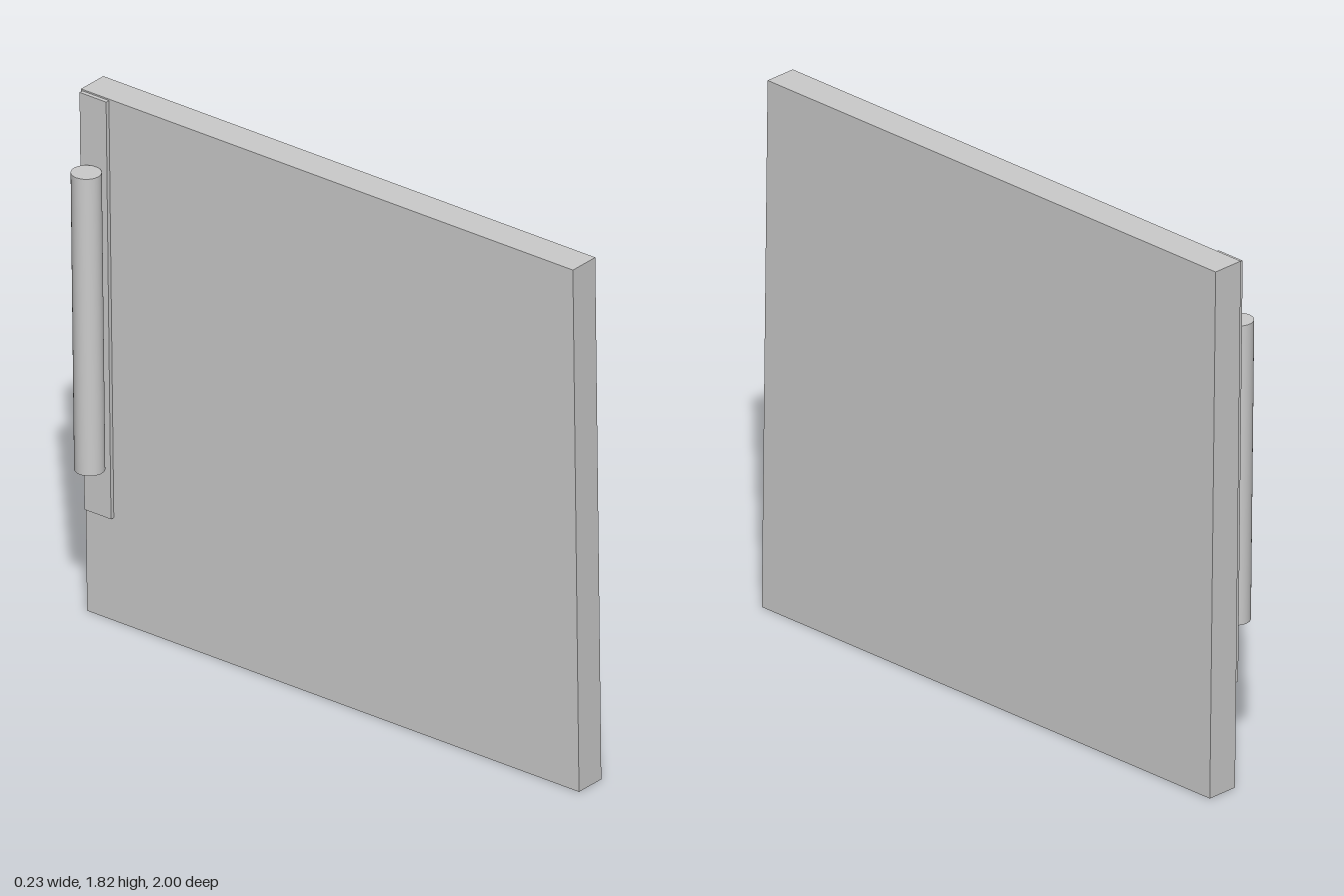
import * as THREE from 'three';

export function createModel() {
  const group = new THREE.Group();
  const material = new THREE.MeshStandardMaterial({ color: 0xcccccc });

  // Slight lean of the whole door: x drifts with y and z, z drifts with y
  const lean = new THREE.Matrix4().set(
    1, -0.003, -0.0125, 0,
    0, 1, 0, 0,
    0, -0.011, 1, 0,
    0, 0, 0, 1
  );

  const addPart = (name, geometry, x, y, z) => {
    geometry.applyMatrix4(lean);
    const mesh = new THREE.Mesh(geometry, material);
    mesh.name = name;
    mesh.position.set(x, y, z);
    group.add(mesh);
  };

  // Thick upright door panel
  addPart('doorPanel', new THREE.BoxGeometry(0.112, 1.82, 1.98), 0.041, 0.91, 0);

  // Thin raised strip along the rear edge, from the top down
  addPart('backingPlate', new THREE.BoxGeometry(0.03, 1.455, 0.107), -0.003, 1.0875, -0.933);

  // Round vertical pull bar resting against the strip
  addPart('handleBar', new THREE.CylinderGeometry(0.049, 0.049, 1.035, 40), -0.066, 1.0575, -0.924);

  return group;
}
